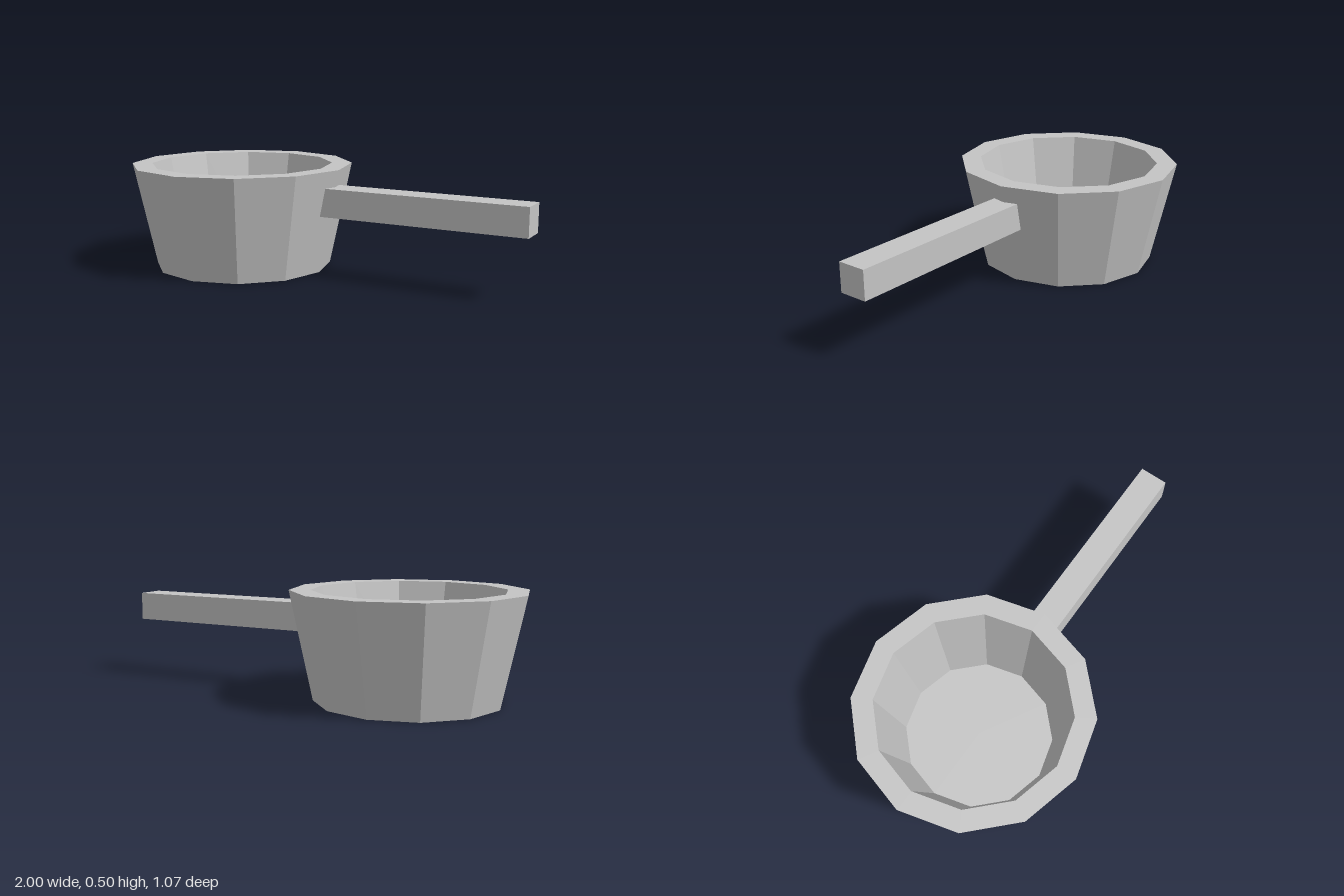
import * as THREE from 'three';

export function createModel() {
  const model = new THREE.Group();
  model.name = 'saucepan';
  const metal = new THREE.MeshStandardMaterial({ color: 0xc4c4c4, flatShading: true });
  metal.name = 'grey metal';

  // Twelve-sided tapered pan: base, outer wall, flat rim, inner wall, floor
  const profile = [
    [0, 0], [0.43, 0], [0.537, 0.5], [0.44, 0.5], [0.35, 0.07], [0, 0.07],
  ].map(([r, y]) => new THREE.Vector2(r, y));
  const pan = new THREE.Mesh(new THREE.LatheGeometry(profile, 12), metal);
  pan.name = 'pan';
  pan.position.x = -0.463;
  model.add(pan);

  // Square bar handle, its inner end buried in the wall
  const start = -0.01, end = 1;
  const handle = new THREE.Mesh(new THREE.BoxGeometry(end - start, 0.134, 0.134), metal);
  handle.name = 'handle';
  handle.position.set((start + end) / 2, 0.352, 0);
  model.add(handle);

  return model;
}
